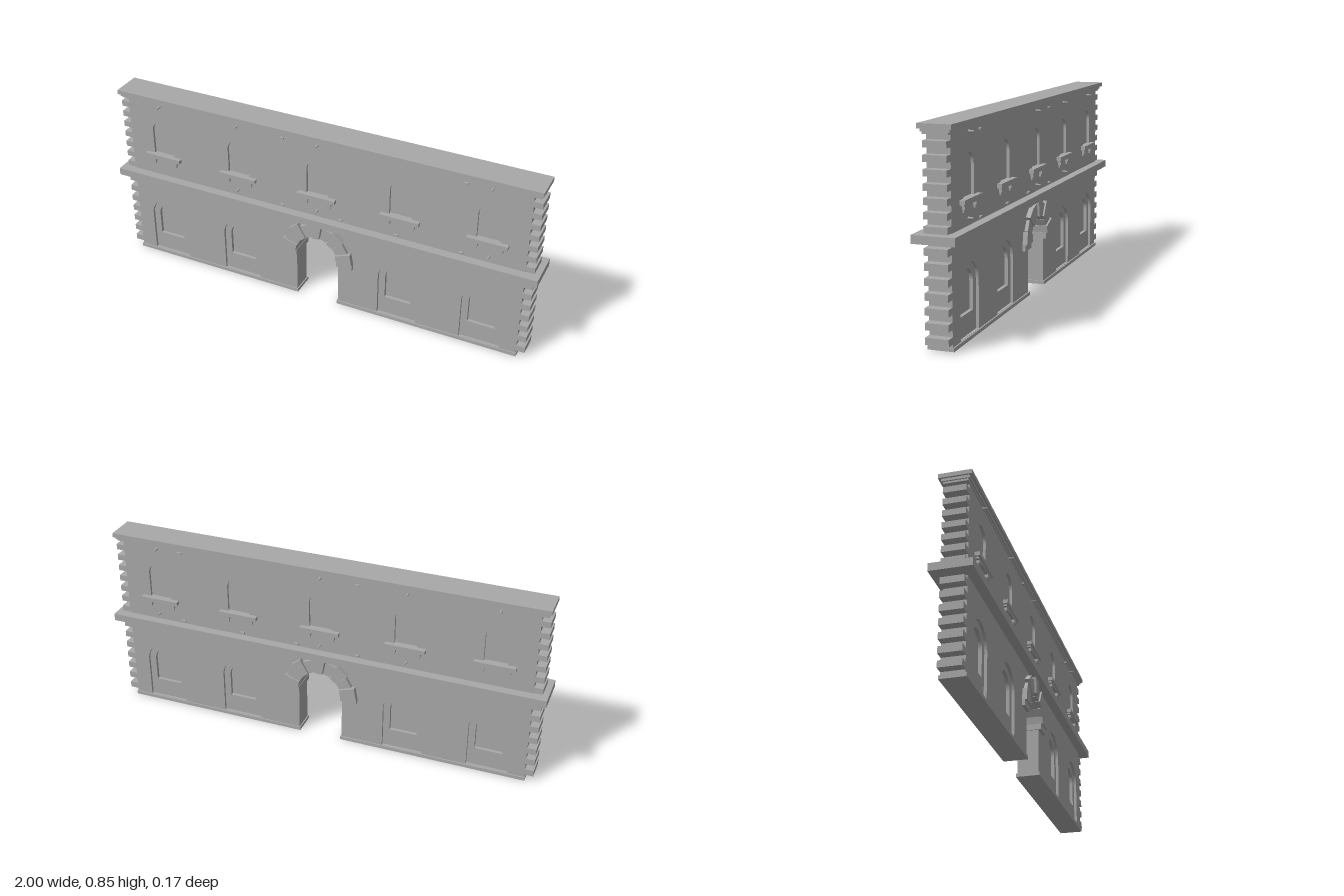
import * as THREE from 'three';

const stone = new THREE.MeshStandardMaterial({ color: 0xa8a8a8 });
stone.name = 'grey stone';

const WINDOWS = [-0.77, -0.385, 0, 0.385, 0.77];
const LOWER = WINDOWS.filter((x) => x !== 0);
const ARCH_Y = 0.237, ARCH_R = 0.102;

// Round-headed opening, centred on x
function archPath(x, half, bottom, top) {
  const p = new THREE.Path();
  p.moveTo(x - half, bottom);
  p.lineTo(x + half, bottom);
  p.lineTo(x + half, top - half);
  p.absarc(x, top - half, half, 0, Math.PI, false);
  p.closePath();
  return p;
}

// Right-hand edge of the wall, toothed by alternating quoins
function quoinEdge() {
  const pts = [];
  const run = (y0, y1, n) => {
    for (let i = 0; i < n; i++) {
      const x = i % 2 ? 0.975 : 0.937;
      const h = (y1 - y0) / n;
      pts.push([x, y0 + i * h], [x, y0 + (i + 1) * h]);
    }
  };
  run(0, 0.42, 15);
  run(0.42, 0.81, 15);
  return pts;
}

// Whole wall outline with the gateway cut from its foot
function wallShape(holes) {
  const s = new THREE.Shape();
  const edge = quoinEdge();
  s.moveTo(ARCH_R, 0);
  edge.forEach(([x, y]) => s.lineTo(x, y));
  [...edge].reverse().forEach(([x, y]) => s.lineTo(-x, y));
  s.lineTo(-ARCH_R, 0);
  s.lineTo(-ARCH_R, ARCH_Y);
  s.absarc(0, ARCH_Y, ARCH_R, Math.PI, 0, true);
  s.closePath();
  s.holes.push(...holes);
  return s;
}

export function createModel() {
  const model = new THREE.Group();

  const add = (name, geo, x = 0, y = 0, z = 0) => {
    const m = new THREE.Mesh(geo, stone);
    m.name = name;
    m.position.set(x, y, z);
    model.add(m);
    return m;
  };
  const box = (name, x0, x1, y0, y1, z0, z1) =>
    add(name, new THREE.BoxGeometry(x1 - x0, y1 - y0, z1 - z0),
      (x0 + x1) / 2, (y0 + y1) / 2, (z0 + z1) / 2);
  const slab = (name, shape, z0, z1) =>
    add(name, new THREE.ExtrudeGeometry(shape, { depth: z1 - z0, bevelEnabled: false, curveSegments: 14 }), 0, 0, z0);

  // Wall core and the two skins that form the window recesses
  const upperHoles = () => WINDOWS.map((x) => archPath(x, 0.051, 0.545, 0.72));
  const outerHoles = () => LOWER.map((x) => archPath(x, 0.092, 0.016, 0.303));
  const innerHoles = () => LOWER.map((x) => archPath(x, 0.062, 0.1, 0.273));
  slab('wallCore', wallShape([]), -0.02, 0.02);
  const mid = wallShape(innerHoles());
  const skin = wallShape([...upperHoles(), ...outerHoles()]);
  slab('frontInnerSkin', mid, 0.02, 0.035);
  slab('backInnerSkin', mid, -0.035, -0.02);
  slab('frontOuterSkin', skin, 0.035, 0.047);
  slab('backOuterSkin', skin, -0.047, -0.035);

  // Plinth, belt course and cornice
  for (const s of [-1, 1]) {
    const [a, b] = s < 0 ? [-0.94, -0.097] : [0.097, 0.94];
    box('plinth', a, b, 0, 0.015, -0.053, 0.053);
  }
  box('beltCourse', -1, 1, 0.41, 0.443, -0.087, 0.087);
  box('corniceFoot', -0.966, 0.966, 0.805, 0.815, -0.051, 0.051);
  box('corniceMoulding', -0.971, 0.971, 0.814, 0.827, -0.058, 0.058);
  box('corniceTop', -0.978, 0.978, 0.826, 0.845, -0.068, 0.068);

  // Gateway voussoirs, alternating in length and projection
  const count = 9;
  for (let i = 0; i < count; i++) {
    const key = i === (count - 1) / 2;
    const long = i % 2 === 0;
    const gap = 0.012;
    const a0 = (i / count) * Math.PI + gap, a1 = ((i + 1) / count) * Math.PI - gap;
    const R = key ? 0.172 : long ? 0.174 : 0.16;
    const d = key ? 0.071 : long ? 0.068 : 0.062;
    const s = new THREE.Shape();
    s.moveTo(Math.cos(a0) * R, Math.sin(a0) * R);
    s.lineTo(Math.cos(a1) * R, Math.sin(a1) * R);
    s.lineTo(Math.cos(a1) * 0.1, Math.sin(a1) * 0.1);
    s.lineTo(Math.cos(a0) * 0.1, Math.sin(a0) * 0.1);
    s.closePath();
    slab(key ? 'keystone' : 'voussoir', s, -d, d).position.y = ARCH_Y;
  }
  // Imposts under the arch
  for (const s of [-1, 1]) {
    const [a, b] = s < 0 ? [-0.174, -0.098] : [0.098, 0.174];
    box('impost', a, b, 0.212, 0.239, -0.061, 0.061);
  }

  for (const f of [-1, 1]) {
    const face = (name, x, w, y0, y1, out) =>
      box(name, x - w / 2, x + w / 2, y0, y1, f > 0 ? 0.03 : -out, f > 0 ? out : -0.03);

    // Window sills on paired brackets
    for (const x of WINDOWS) {
      face('windowSill', x, 0.178, 0.536, 0.553, 0.068);
      face('sillMoulding', x, 0.16, 0.528, 0.537, 0.061);
      for (const s of [-1, 1]) {
        face('sillBracket', x + s * 0.055, 0.026, 0.514, 0.53, 0.06);
        face('bracketFoot', x + s * 0.055, 0.018, 0.502, 0.515, 0.054);
      }
    }

    // Small iron pegs and clips
    const peg = (x, y) => {
      const m = add('wallPeg', new THREE.CylinderGeometry(0.003, 0.006, 0.026, 8), x, y, f * 0.057);
      m.rotation.x = f * Math.PI / 2;
    };
    [-0.775, -0.385, 0, 0.77].forEach((x) => peg(x, 0.797));
    [-0.39, 0, 0.78].forEach((x) => peg(x, 0.472));
    [-0.165, 0.66].forEach((x) => face('wallClip', x, 0.02, 0.792, 0.799, 0.056));
    [-0.17, 0.11, 0.37, 0.66].forEach((x) => face('wallClip', x, 0.02, 0.454, 0.46, 0.056));
  }

  return model;
}
